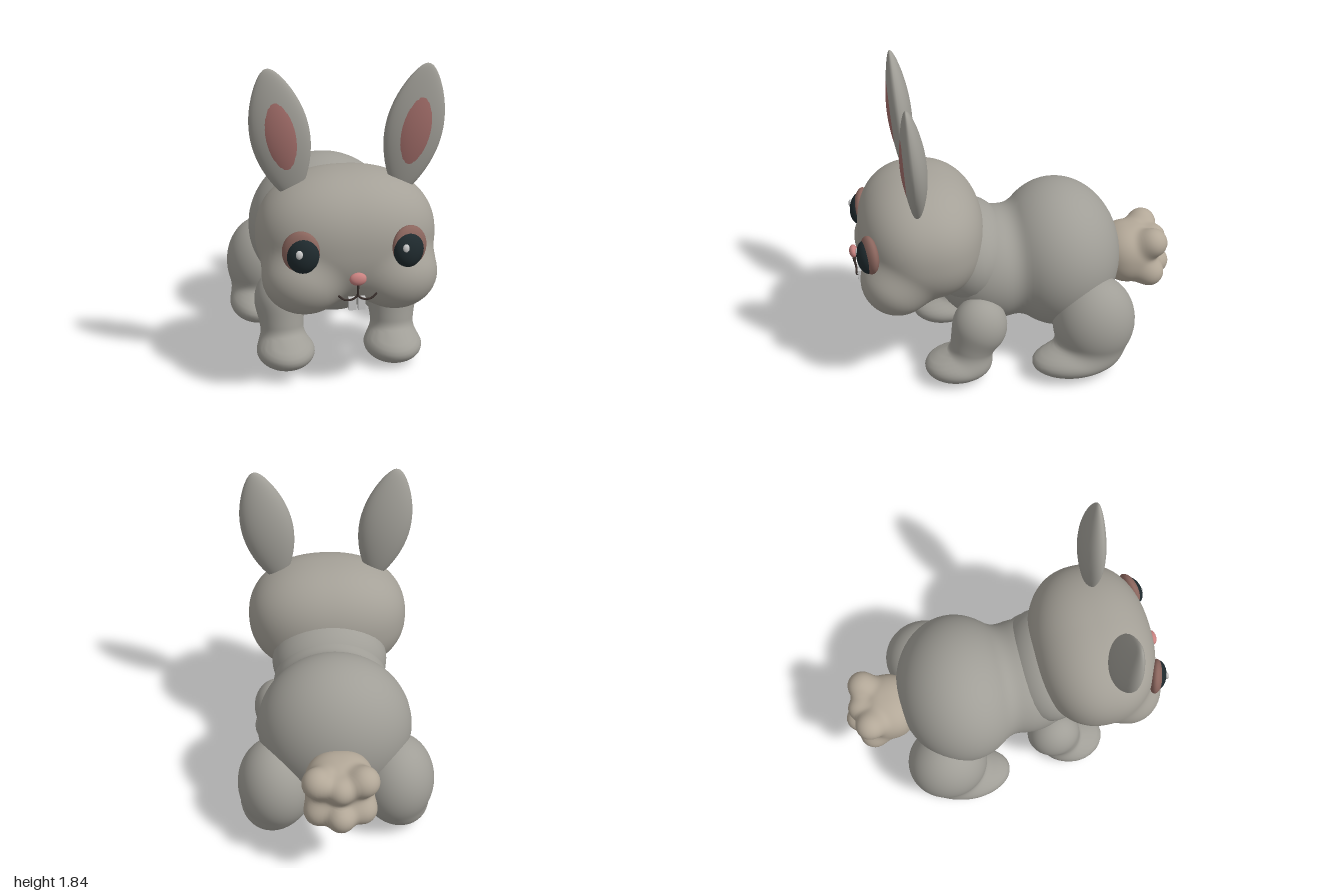
import * as THREE from 'three';
import { mergeVertices } from 'three/addons/utils/BufferGeometryUtils.js';

const mat = (color) => new THREE.MeshStandardMaterial({ color, roughness: 0.8 });
const fur = mat(0xa09e97), paleFur = mat(0xb3a898), pink = mat(0xc98280), earPink = mat(0xa06c68);
const rimBrown = mat(0x8a655d), eyeDark = mat(0x1f2a2e), white = mat(0xc8c8cc), line = mat(0x3a302d);

// Drops the sphere's seam so that the shading runs smoothly round the form.
function weld(geo) {
  geo.deleteAttribute('uv');
  geo.deleteAttribute('normal');
  const welded = mergeVertices(geo, 1e-4);
  welded.computeVertexNormals();
  return welded;
}

// Soft union of rounded lumps { c: centre, r: radii, e: squareness },
// found by shrinking a sphere onto the surface from all round.
function blob(origin, lumps, k, segs = 64) {
  const o = new THREE.Vector3(...origin), p = new THREE.Vector3();
  const field = (x) => lumps.reduce((a, { c, r, e = 2 }) => {
    const q = Math.abs((x.x - c[0]) / r[0]) ** e + Math.abs((x.y - c[1]) / r[1]) ** e
      + Math.abs((x.z - c[2]) / r[2]) ** e;
    const b = (q ** (1 / e) - 1) * Math.min(...r);
    const h = Math.max(k - Math.abs(a - b), 0) / k;
    return Math.min(a, b) - h * h * k * 0.25;
  }, 10);
  const geo = new THREE.SphereGeometry(1, segs, Math.round(segs * 0.75));
  const pos = geo.attributes.position, d = new THREE.Vector3();
  const inside = (t) => field(p.copy(o).addScaledVector(d, t)) < 0;
  for (let i = 0; i < pos.count; i++) {
    d.fromBufferAttribute(pos, i).normalize();
    let hi = 1.2;
    while (hi > 0.02 && !inside(hi - 0.015)) hi -= 0.015;
    let lo = hi - 0.015;
    for (let n = 0; n < 12; n++) {
      const m = (lo + hi) / 2;
      if (inside(m)) lo = m; else hi = m;
    }
    p.copy(o).addScaledVector(d, lo);
    pos.setXYZ(i, p.x, p.y, p.z);
  }
  return weld(geo);
}

// Leaf form with pointed ends, fuller at the back than at the front.
function leaf(w, h, front, back) {
  const geo = new THREE.SphereGeometry(1, 32, 32);
  const pos = geo.attributes.position;
  for (let i = 0; i < pos.count; i++) {
    const y = pos.getY(i), z = pos.getZ(i), s = 1 - 0.3 * y * y;
    pos.setXYZ(i, pos.getX(i) * w * s, y * h, z * (z > 0 ? front : back) * s);
  }
  return weld(geo);
}

export function createModel() {
  const group = new THREE.Group();
  const add = (name, geo, material, parent = group) => {
    const mesh = new THREE.Mesh(geo, material);
    mesh.name = name;
    parent.add(mesh);
    return mesh;
  };
  const ball = (name, c, r, material) => {
    const mesh = add(name, new THREE.SphereGeometry(1, 32, 24), material);
    mesh.position.set(...c);
    mesh.scale.set(...r);
    return mesh;
  };
  const tube = (name, pts) => {
    const curve = new THREE.CatmullRomCurve3(pts.map((p) => new THREE.Vector3(...p)));
    add(name, new THREE.TubeGeometry(curve, 16, 0.006, 8), line);
  };

  // Body: round rump, chest and neck
  add('body', blob([0, 0.63, -0.05], [
    { c: [0, 0.64, -0.27], r: [0.46, 0.46, 0.385] },
    { c: [0, 0.61, 0.14], r: [0.36, 0.35, 0.36] },
  ], 0.07, 80), fur);
  ball('neck', [0, 0.72, 0.28], [0.36, 0.31, 0.26], fur);

  // Head with two full cheeks
  add('head', blob([0, 0.84, 0.6], [
    { c: [0, 0.895, 0.56], r: [0.5, 0.372, 0.37], e: 2.25 },
    { c: [0.25, 0.71, 0.73], r: [0.235, 0.205, 0.215] },
    { c: [-0.25, 0.71, 0.73], r: [0.235, 0.205, 0.215] },
  ], 0.05, 96), mat(0xa5a198));

  // Legs, ears and eyes, mirrored
  for (const s of [1, -1]) {
    const side = s > 0 ? 'left' : 'right';
    add(side + 'FrontLeg', blob([s * 0.33, 0.23, 0.32], [
      { c: [s * 0.335, 0.375, 0.265], r: [0.15, 0.185, 0.165] },
      { c: [s * 0.33, 0.22, 0.32], r: [0.125, 0.17, 0.125] },
      { c: [s * 0.32, 0.11, 0.4], r: [0.17, 0.1, 0.2] },
    ], 0.05), fur);
    add(side + 'HindLeg', blob([s * 0.38, 0.2, -0.38], [
      { c: [s * 0.36, 0.345, -0.43], r: [0.23, 0.29, 0.25] },
      { c: [s * 0.42, 0.12, -0.3], r: [0.165, 0.1, 0.26] },
    ], 0.06), fur);

    const ear = new THREE.Group();
    ear.name = side + 'Ear';
    ear.position.set(s * 0.365, 1.49, 0.63);
    ear.rotation.set(0.06, 0, -s * 0.19);
    add('outerEar', leaf(0.16, 0.37, 0.055, 0.085), fur, ear);
    add('innerEar', leaf(0.125, 0.31, 0.062, 0.03), earPink, ear);
    group.add(ear);

    const turn = (mesh) => mesh.rotation.set(-0.05, s * 0.3, s * 0.12);
    turn(ball(side + 'EyeRim', [s * 0.293, 0.915, 0.885], [0.102, 0.115, 0.045], rimBrown));
    turn(ball(side + 'Eye', [s * 0.285, 0.902, 0.9], [0.088, 0.1, 0.055], eyeDark));
    ball(side + 'EyeGlint', [s * 0.285 - 0.025, 0.925, 0.95], [0.019, 0.025, 0.012], white);

    // Mouth corner and front tooth
    tube(side + 'MouthLine', [[0, 0.675, 0.955], [s * 0.03, 0.657, 0.957],
      [s * 0.07, 0.657, 0.957], [s * 0.105, 0.682, 0.952]]);
    const tooth = add(side + 'Tooth', new THREE.BoxGeometry(0.04, 0.068, 0.03), white);
    tooth.position.set(s * 0.025, 0.624, 0.935);
  }

  // Nose and the line below it
  ball('nose', [0, 0.775, 0.965], [0.046, 0.036, 0.025], pink);
  tube('noseLine', [[0, 0.76, 0.97], [0, 0.71, 0.965], [0, 0.672, 0.955]]);

  // Fluffy tail made of tufts
  const tufts = [[0.13, 0.7, -0.85, 0.09], [-0.13, 0.7, -0.85, 0.09], [0, 0.49, -0.915, 0.08],
    [0.12, 0.49, -0.84, 0.09], [-0.12, 0.49, -0.84, 0.09], [0, 0.455, -0.87, 0.075],
    [0, 0.67, -0.89, 0.075]];
  add('tail', blob([0, 0.59, -0.77], [
    { c: [0, 0.585, -0.73], r: [0.2, 0.185, 0.18], e: 2.3 },
    ...tufts.map(([x, y, z, r]) => ({ c: [x, y, z], r: [r, r, r] })),
  ], 0.045), paleFur);

  return group;
}
